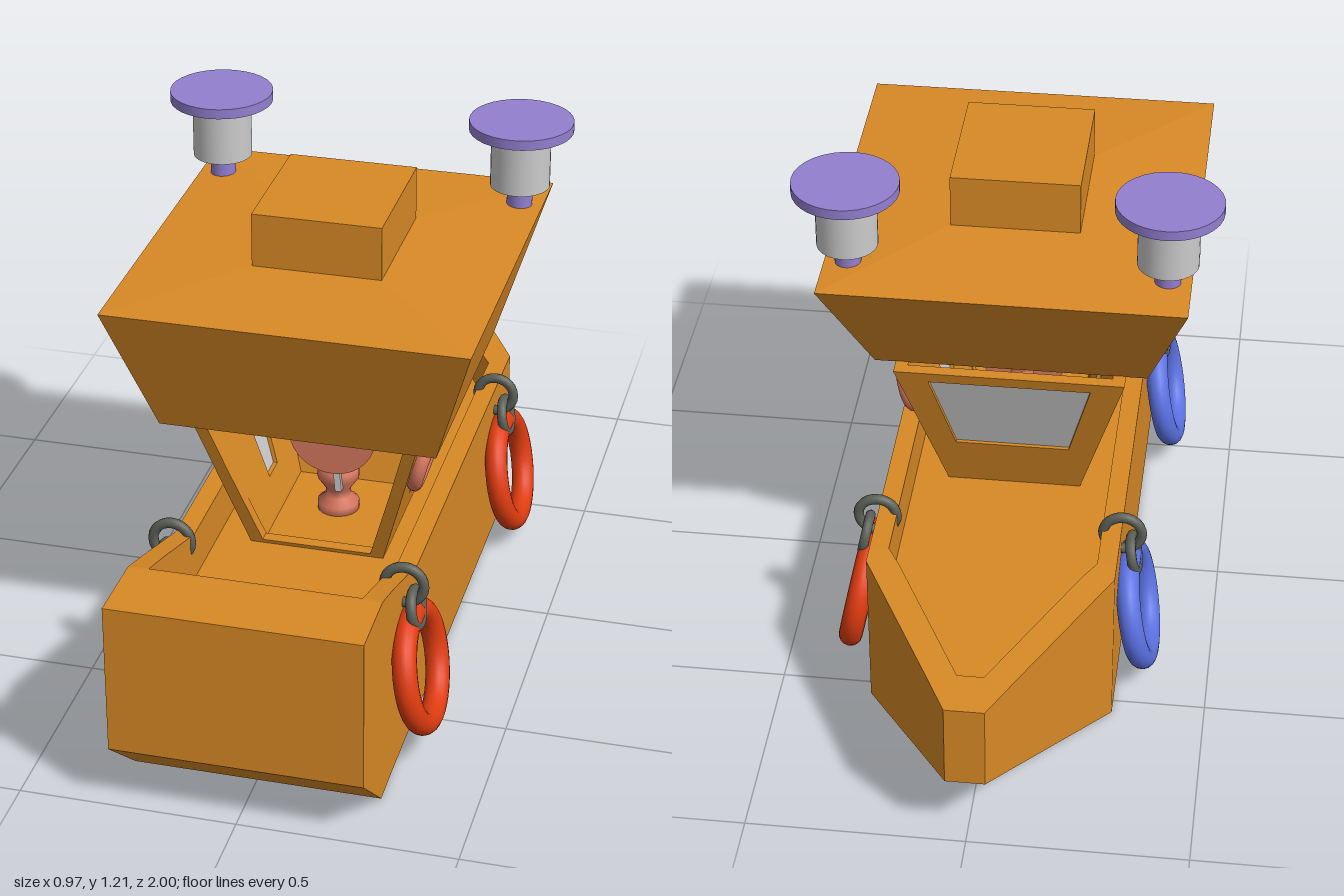
import * as THREE from 'three';

const paint = (color) => new THREE.MeshStandardMaterial({ color });
const grey = paint(0xcccccc), orange = paint(0xd98a26), purple = paint(0x937fd0);
const red = paint(0xe03c10), blue = paint(0x5a70e0), pink = paint(0xd8775f), iron = paint(0x5c5f57);

function add(parent, name, geometry, material, x = 0, y = 0, z = 0) {
  const mesh = new THREE.Mesh(geometry, material);
  mesh.name = name;
  mesh.position.set(x, y, z);
  parent.add(mesh);
  return mesh;
}

// Flat-shaded skin over matching rings; rings run anticlockwise seen from the first end
function loft(rings) {
  const n = rings[0].length, index = [];
  const last = (rings.length - 1) * n;
  for (let s = 0; s < last; s += n) {
    for (let i = 0; i < n; i++) {
      const j = (i + 1) % n;
      index.push(s + i, s + n + i, s + n + j, s + i, s + n + j, s + j);
    }
  }
  for (let i = 1; i < n - 1; i++) index.push(0, i, i + 1, last, last + i + 1, last + i);
  const g = new THREE.BufferGeometry();
  g.setAttribute('position', new THREE.Float32BufferAttribute(rings.flat(2), 3));
  g.setIndex(index);
  const flat = g.toNonIndexed();
  flat.computeVertexNormals();
  return flat;
}

// Hull cross-section: U shape with rail, inner wall and deck
function hullSection([z, hw, bottom, top, inner, deck]) {
  const half = [[hw, bottom], [hw, top], [inner, top], [inner, deck]];
  const other = half.map(([x, y]) => [-x, y]).reverse();
  return [...half, ...other].map(([x, y]) => [x, y, z]);
}

const rect = (hw, back, front, y) => [[hw, y, front], [hw, y, back], [-hw, y, back], [-hw, y, front]];

// Cabin walls lean outward: local x across, y up, distance from centre grows with height
const BASE = 0.29, HEIGHT = 0.39;
const trapezoid = (low, high, y0, y1) =>
  [[-low, y0], [low, y0], [high, y1], [-high, y1]].map(([x, y]) => new THREE.Vector2(x, y));

function leaningPanel(outline, hole, nearLow, nearHigh, thickness, inset, angle) {
  const shape = new THREE.Shape(outline);
  if (hole) shape.holes.push(new THREE.Path(hole));
  const g = new THREE.ExtrudeGeometry(shape, { depth: thickness, bevelEnabled: false });
  const p = g.attributes.position;
  for (let i = 0; i < p.count; i++) {
    const t = (p.getY(i) - BASE) / HEIGHT;
    p.setZ(i, p.getZ(i) - thickness - inset + nearLow + (nearHigh - nearLow) * t);
  }
  g.computeVertexNormals();
  return g.rotateY(angle);
}

function buildCabin(model) {
  const cabin = new THREE.Group();
  cabin.name = 'cabin';
  cabin.position.z = 0.12;
  model.add(cabin);
  const W = [0.16, 0.27], L = [0.185, 0.3];
  const walls = [
    { name: 'bowWall', across: W, out: L, angle: Math.PI, hole: trapezoid(0.135, 0.19, 0.43, 0.65), glass: true },
    { name: 'doorway', across: W, out: L, angle: 0, hole: trapezoid(0.13, 0.235, 0.3, 0.655) },
    { name: 'leftWall', across: L, out: W, angle: Math.PI / 2, hole: trapezoid(0.034, 0.068, 0.38, 0.65), glass: true },
    { name: 'rightWall', across: L, out: W, angle: -Math.PI / 2, hole: trapezoid(0.034, 0.068, 0.38, 0.65), glass: true },
  ];
  for (const w of walls) {
    const outline = trapezoid(...w.across, BASE, BASE + HEIGHT);
    add(cabin, w.name, leaningPanel(outline, w.hole, ...w.out, 0.03, 0, w.angle), orange);
    if (w.glass) add(cabin, w.name + 'Window', leaningPanel(w.hole, null, ...w.out, 0.01, 0.01, w.angle), grey);
  }

  // Life rings on the left wall only
  for (const z of [0.163, -0.16]) {
    const ring = add(cabin, 'lifeRing', new THREE.TorusGeometry(0.062, 0.018, 12, 32), pink, 0.25, 0.56, z);
    ring.rotation.set(0.27, Math.PI / 2, 0, 'YXZ');
  }
}

function buildHelm(model) {
  const helm = new THREE.Group();
  helm.name = 'helm';
  helm.position.z = 0.1;
  model.add(helm);
  const profile = [[0, 0.28], [0.05, 0.28], [0.05, 0.31], [0.03, 0.325], [0.03, 0.345], [0.05, 0.375],
    [0.05, 0.4], [0.028, 0.43], [0.028, 0.5], [0, 0.5]].map(([x, y]) => new THREE.Vector2(x, y));
  add(helm, 'helmPedestal', new THREE.LatheGeometry(profile, 20), pink);
  const wheel = new THREE.Group();
  wheel.name = 'wheel';
  wheel.position.set(0, 0.52, 0.05);
  wheel.rotation.z = 0.09;
  helm.add(wheel);
  add(wheel, 'wheelDisc', new THREE.CylinderGeometry(0.105, 0.105, 0.025, 32).rotateX(Math.PI / 2), pink);
  for (const turn of [0, Math.PI / 2]) {
    const spoke = add(wheel, 'wheelSpokes', new THREE.BoxGeometry(0.39, 0.016, 0.014), grey);
    if (turn) spoke.scale.x = 0.8;
    spoke.rotation.z = turn;
  }
}

function buildHorn(model, x) {
  const horn = new THREE.Group();
  horn.name = 'funnel';
  horn.position.set(x, 0, -0.2);
  model.add(horn);
  const cyl = (name, top, bottom, y0, y1, material) =>
    add(horn, name, new THREE.CylinderGeometry(top, bottom, y1 - y0, 32), material, 0, (y0 + y1) / 2, 0);
  cyl('funnelStem', 0.03, 0.03, 0.98, 1.03, purple);
  cyl('funnelCollar', 0.068, 0.03, 1.03, 1.046, purple);
  cyl('funnelBody', 0.07, 0.07, 1.046, 1.168, grey);
  cyl('funnelFlare', 0.12, 0.07, 1.168, 1.186, purple);
  cyl('funnelCap', 0.122, 0.122, 1.186, 1.21, purple);
}

// Ring fender leaning out at the foot, hung from two chain links
function buildFender(model, side, y, z, material) {
  const fender = new THREE.Group();
  fender.name = 'fender';
  fender.position.set(0, y, z);
  fender.scale.x = side;
  model.add(fender);
  const ring = new THREE.TorusGeometry(0.128, 0.028, 16, 40).rotateY(Math.PI / 2).rotateZ(0.2);
  add(fender, 'fenderRing', ring, material, 0.328, 0, 0);
  const lower = new THREE.TorusGeometry(0.042, 0.012, 10, 24).rotateY(Math.PI / 2).rotateZ(0.2);
  add(fender, 'lowerLink', lower, iron, 0.315, 0.152, 0);
  add(fender, 'upperLink', new THREE.TorusGeometry(0.045, 0.012, 10, 24), iron, 0.287, 0.208, 0);
}

export function createModel() {
  const model = new THREE.Group();
  model.name = 'tugboat';

  // Hull stations: z, half width, keel, rail, inner half width, deck
  const stations = [
    [1, 0.288, 0.15, 0.515, 0.24, 0.515],
    [0.83, 0.286, 0, 0.515, 0.24, 0.515],
    [0.82, 0.286, 0, 0.513, 0.24, 0.513],
    [0.72, 0.285, 0, 0.482, 0.24, 0.29],
    [0.49, 0.285, 0, 0.405, 0.24, 0.29],
    [-0.49, 0.285, 0, 0.405, 0.24, 0.29],
    [-0.54, 0.285, 0, 0.404, 0.21, 0.29],
    [-0.89, 0.102, 0.137, 0.394, 0.03, 0.29],
    [-0.89, 0.102, 0.137, 0.394, 0.03, 0.394],
    [-1, 0.045, 0.18, 0.39, 0.02, 0.39],
  ];
  add(model, 'hull', loft(stations.map(hullSection)), orange);

  buildCabin(model);
  buildHelm(model);

  // Flared roof with a raised hatch
  const roof = [rect(0.15, -0.04, 0.29, 1.007), rect(0.417, -0.335, 0.585, 0.995), rect(0.32, -0.135, 0.475, 0.677)];
  add(model, 'roof', loft(roof), orange);
  add(model, 'roofHatch', new THREE.BoxGeometry(0.3, 0.145, 0.335), orange, 0, 1.0625, 0.125);

  for (const side of [-1, 1]) buildHorn(model, side * 0.362);

  buildFender(model, 1, 0.23, 0.63, red);
  buildFender(model, 1, 0.185, -0.355, red);
  buildFender(model, -1, 0.187, 0.51, blue);
  buildFender(model, -1, 0.187, -0.36, blue);
  return model;
}
